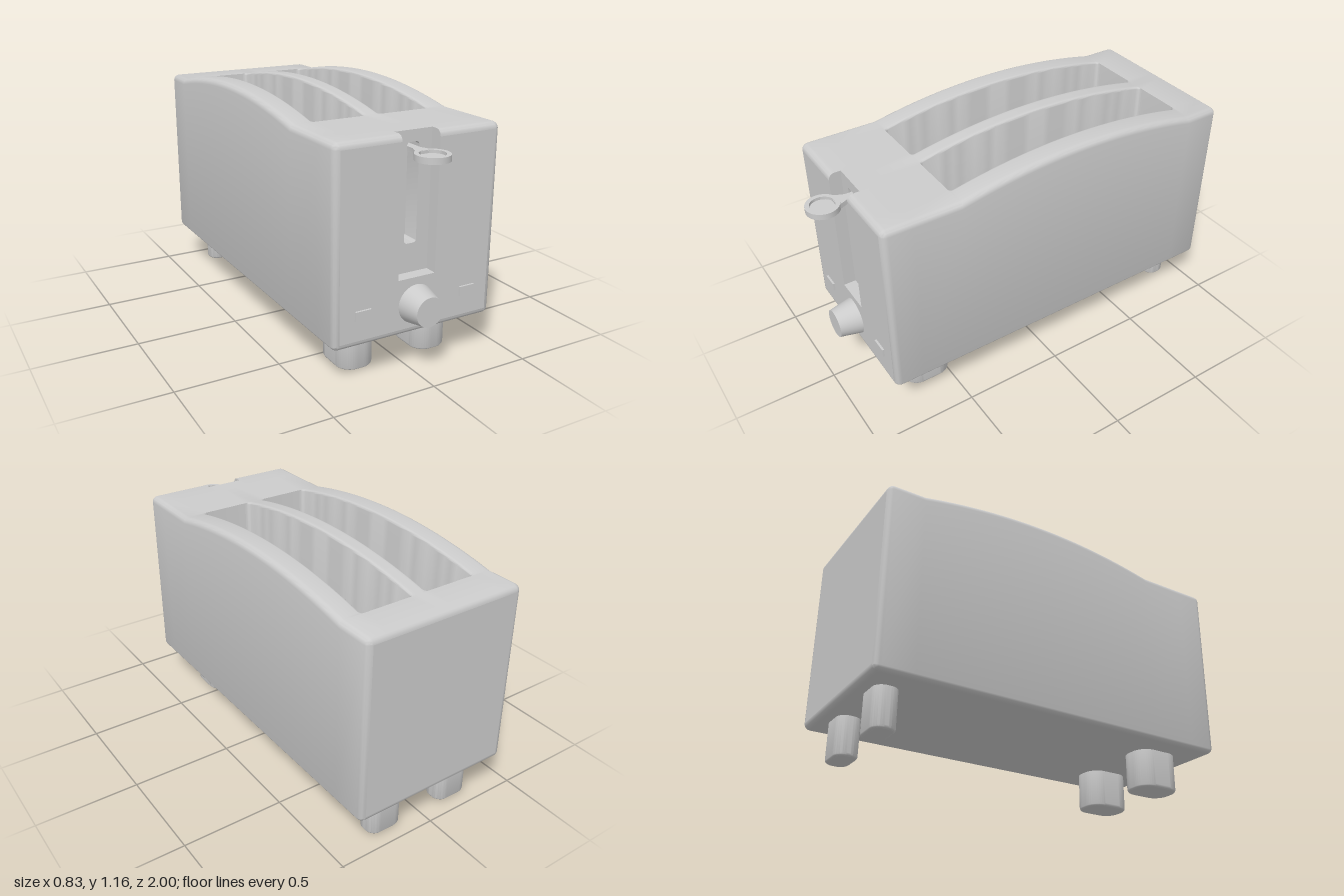
import * as THREE from 'three';
import { toCreasedNormals } from 'three/addons/utils/BufferGeometryUtils.js';

const W = 0.415, BOTTOM = 0.19, TOP = 1.095, BACK = -1, FRONT = 0.845, R = 0.03;
const SLOT = { inner: 0.04, outer: 0.3, back: -0.82, front: 0.465, floor: 0.3 };
const NOTCH = { half: 0.095, floor: 0.455, z: 0.7 };

const material = new THREE.MeshStandardMaterial({ color: 0xcccccc });

function part(name, geometry, x = 0, y = 0, z = 0) {
  const mesh = new THREE.Mesh(toCreasedNormals(geometry, 0.6), material);
  mesh.name = name;
  mesh.position.set(x, y, z);
  return mesh;
}

function roundedRect(x0, y0, x1, y1, r, Type = THREE.Shape) {
  const s = new Type();
  s.absarc(x1 - r, y0 + r, r, -Math.PI / 2, 0);
  s.absarc(x1 - r, y1 - r, r, 0, Math.PI / 2);
  s.absarc(x0 + r, y1 - r, r, Math.PI / 2, Math.PI);
  s.absarc(x0 + r, y0 + r, r, Math.PI, Math.PI * 1.5);
  s.closePath();
  return s;
}

// Height of the top: flat at the ends, arched over the slots
function topAt(z) {
  const mid = (SLOT.back + SLOT.front) / 2, half = (SLOT.front - SLOT.back) / 2;
  const t = (z - mid) / half;
  return TOP + 0.07 * Math.max(0, 1 - t * t);
}

// Body outline at one z, counter-clockwise; slots and notch collapse onto the top when absent
function section({ z, inset = 0, slot = false, shrink = 0, notch = false }) {
  const top = topAt(z) - inset, r = R - inset, q = slot ? 0.014 : 0;
  const outer = SLOT.outer - shrink;
  const inner = notch ? 0.12 : SLOT.inner + shrink;
  const floor = slot ? SLOT.floor : top;
  const half = [];
  const arc = (cx, cy, rad, from) => {
    for (let i = 0; i <= 5; i++) {
      const a = (from + i * 18) * Math.PI / 180;
      half.push([cx + rad * Math.cos(a), cy + rad * Math.sin(a)]);
    }
  };
  arc(W - R, BOTTOM + R, r, -90);
  arc(W - R, top - r, r, 0);
  arc(outer + q, top - q, q, 90);
  half.push([outer, floor], [inner, floor]);
  arc(inner - q, top - q, q, 0);
  const n = notch ? NOTCH.half : 0.015;
  half.push([n, top], [n, notch ? NOTCH.floor : top]);
  const mirrored = half.map(([x, y]) => [-x, y]).reverse();
  return [...half, ...mirrored].map(([x, y]) => new THREE.Vector3(x, y, z));
}

function bodyStations() {
  const list = [], N = 5;
  const angle = i => (i / N) * Math.PI / 2;
  // rounded back edge
  for (let i = 0; i <= N; i++) {
    const a = angle(i);
    list.push({ z: BACK + R * (1 - Math.cos(a)), inset: R * (1 - Math.sin(a)) });
  }
  // slotted middle with rounded plan corners
  const c = 0.02;
  list.push({ z: SLOT.back, shrink: c });
  for (let i = 0; i <= N; i++) {
    const a = angle(i);
    list.push({ z: SLOT.back + c * (1 - Math.cos(a)), slot: true, shrink: c * (1 - Math.sin(a)) });
  }
  for (let i = 1; i < 32; i++) {
    const z = THREE.MathUtils.lerp(SLOT.back + c, SLOT.front - c, i / 32);
    list.push({ z, slot: true });
  }
  for (let i = N; i >= 0; i--) {
    const a = angle(i);
    list.push({ z: SLOT.front - c * (1 - Math.cos(a)), slot: true, shrink: c * (1 - Math.sin(a)) });
  }
  list.push({ z: SLOT.front, shrink: c });
  // front block with the lever channel and rounded front edge
  list.push({ z: NOTCH.z });
  list.push({ z: NOTCH.z, notch: true });
  for (let i = N; i >= 0; i--) {
    const a = angle(i);
    list.push({ z: FRONT - R * (1 - Math.cos(a)), inset: R * (1 - Math.sin(a)), notch: true });
  }
  return list;
}

function loft(rings) {
  const n = rings[0].length, index = [];
  for (let i = 0; i < rings.length - 1; i++) {
    for (let j = 0; j < n; j++) {
      const a = i * n + j, b = i * n + (j + 1) % n;
      index.push(a, b, a + n, b, b + n, a + n);
    }
  }
  const g = new THREE.BufferGeometry().setFromPoints(rings.flat());
  g.setIndex(index);
  g.computeVertexNormals();
  return g;
}

function cap(ring) {
  const pts = ring.filter((p, i) => p.distanceTo(ring[(i + 1) % ring.length]) > 1e-5);
  return new THREE.ShapeGeometry(new THREE.Shape(pts.map(p => new THREE.Vector2(p.x, p.y))));
}

function foot(name, x, z, width, length, r) {
  const g = new THREE.ExtrudeGeometry(roundedRect(-width / 2, -length / 2, width / 2, length / 2, r), {
    depth: 0.19, bevelThickness: 0.015, bevelSize: 0.015, bevelOffset: -0.015, bevelSegments: 4, curveSegments: 10,
  });
  g.rotateX(-Math.PI / 2);
  return part(name, g, x, 0.015, z);
}

export function createModel() {
  const model = new THREE.Group();
  model.name = 'toaster';

  // Body shell with bread slots
  const rings = bodyStations().map(section);
  const body = new THREE.Group();
  body.name = 'body';
  body.add(part('shell', loft(rings)));
  body.add(part('frontFace', cap(rings[rings.length - 1]), 0, 0, FRONT));
  body.add(part('backFace', cap(rings[0]).rotateY(Math.PI), 0, 0, BACK));
  model.add(body);

  // Recessed panel with the lever slit
  const panel = new THREE.Shape();
  const h = NOTCH.half;
  panel.moveTo(-h, NOTCH.floor).lineTo(h, NOTCH.floor).lineTo(h, TOP).lineTo(-h, TOP).closePath();
  panel.holes.push(roundedRect(-0.031, 0.59, 0.031, 1.042, 0.015, THREE.Path));
  model.add(part('leverPanel', new THREE.ExtrudeGeometry(panel, { depth: 0.085, bevelEnabled: false }), 0, 0, NOTCH.z));

  // Lever: dished round grip on a flared stem
  const lever = new THREE.Group();
  lever.name = 'lever';
  const grip = [[0, -0.014], [0.077, -0.014], [0.077, 0.014], [0.057, 0.014], [0.057, 0], [0, 0]];
  lever.add(part('leverGrip', new THREE.LatheGeometry(grip.map(p => new THREE.Vector2(...p)), 40), 0, 1.01, 0.923));
  const stem = new THREE.Shape();
  stem.moveTo(-0.02, -0.7).lineTo(-0.02, -0.81).lineTo(-0.045, -0.87).lineTo(0.045, -0.87).lineTo(0.02, -0.81).lineTo(0.02, -0.7);
  const stemGeometry = new THREE.ExtrudeGeometry(stem, { depth: 0.024, bevelEnabled: false }).rotateX(-Math.PI / 2);
  lever.add(part('leverStem', stemGeometry, 0, 0.998, 0));
  model.add(lever);

  // Browning knob
  const knob = new THREE.CylinderGeometry(0.069, 0.091, 0.11, 40).rotateX(Math.PI / 2);
  model.add(part('knob', knob, 0, 0.33, 0.897));

  // Buttons and feet, mirrored
  for (const side of [-1, 1]) {
    const label = side > 0 ? 'left' : 'right';
    model.add(part(label + 'Button', new THREE.BoxGeometry(0.078, 0.043, 0.03), side * 0.272, 0.339, 0.84));
    model.add(foot(label + 'FrontFoot', side * 0.2, 0.6, 0.18, 0.24, 0.075));
    model.add(foot(label + 'BackFoot', side * 0.2, -0.875, 0.18, 0.115, 0.05));
  }
  return model;
}
